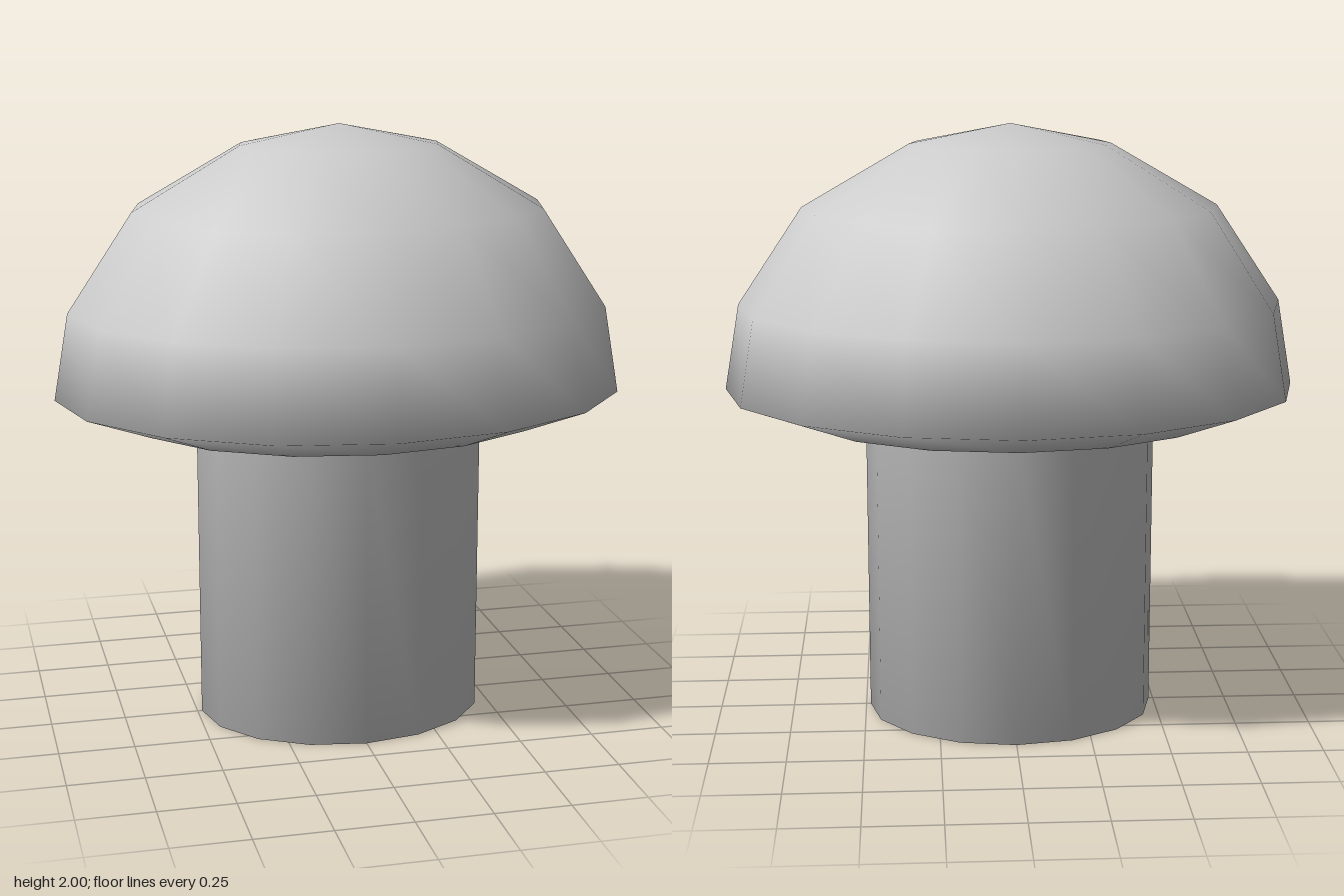
import * as THREE from 'three';

const SIDES = 16;
const DEPTH = 0.825; // oval plan: depth relative to width

// One outline from the base of the stem to the crown, so shading flows across the joint
const PROFILE = [
  [0, 0], [0.485, 0], [0.485, 1.04],                    // stem
  [0.72, 1.04], [0.95, 1.125], [0.9, 1.41],             // underside and rim
  [0.685, 1.73], [0.33, 1.935], [0, 2],                 // dome
].map(([r, y]) => new THREE.Vector2(r, y));

// Mesh made of the lathe bands from profile point `from` to point `to`
function bandMesh(lathe, from, to, name, material) {
  const perSide = lathe.index.count / SIDES;
  const all = Array.from(lathe.index.array);
  const bands = PROFILE.length - 1;
  const step = perSide / bands;
  const picked = all.filter((_, k) => {
    const band = Math.floor((k % perSide) / step);
    return band >= from && band < to;
  });
  const geometry = lathe.clone();
  geometry.setIndex(picked);
  const mesh = new THREE.Mesh(geometry, material);
  mesh.name = name;
  return mesh;
}

export function createModel() {
  const group = new THREE.Group();
  group.name = 'mushroom';
  const material = new THREE.MeshStandardMaterial({ color: 0xcccccc, side: THREE.DoubleSide });

  const lathe = new THREE.LatheGeometry(PROFILE, SIDES);
  // Level normals at the two poles
  const { position, normal } = lathe.attributes;
  for (let i = 0; i < position.count; i++) {
    if (position.getY(i) > 1.999) normal.setXYZ(i, 0, 1, 0);
  }
  lathe.scale(1, 1, DEPTH);

  group.add(bandMesh(lathe, 0, 2, 'stem', material));
  group.add(bandMesh(lathe, 2, PROFILE.length - 1, 'cap', material));
  return group;
}
